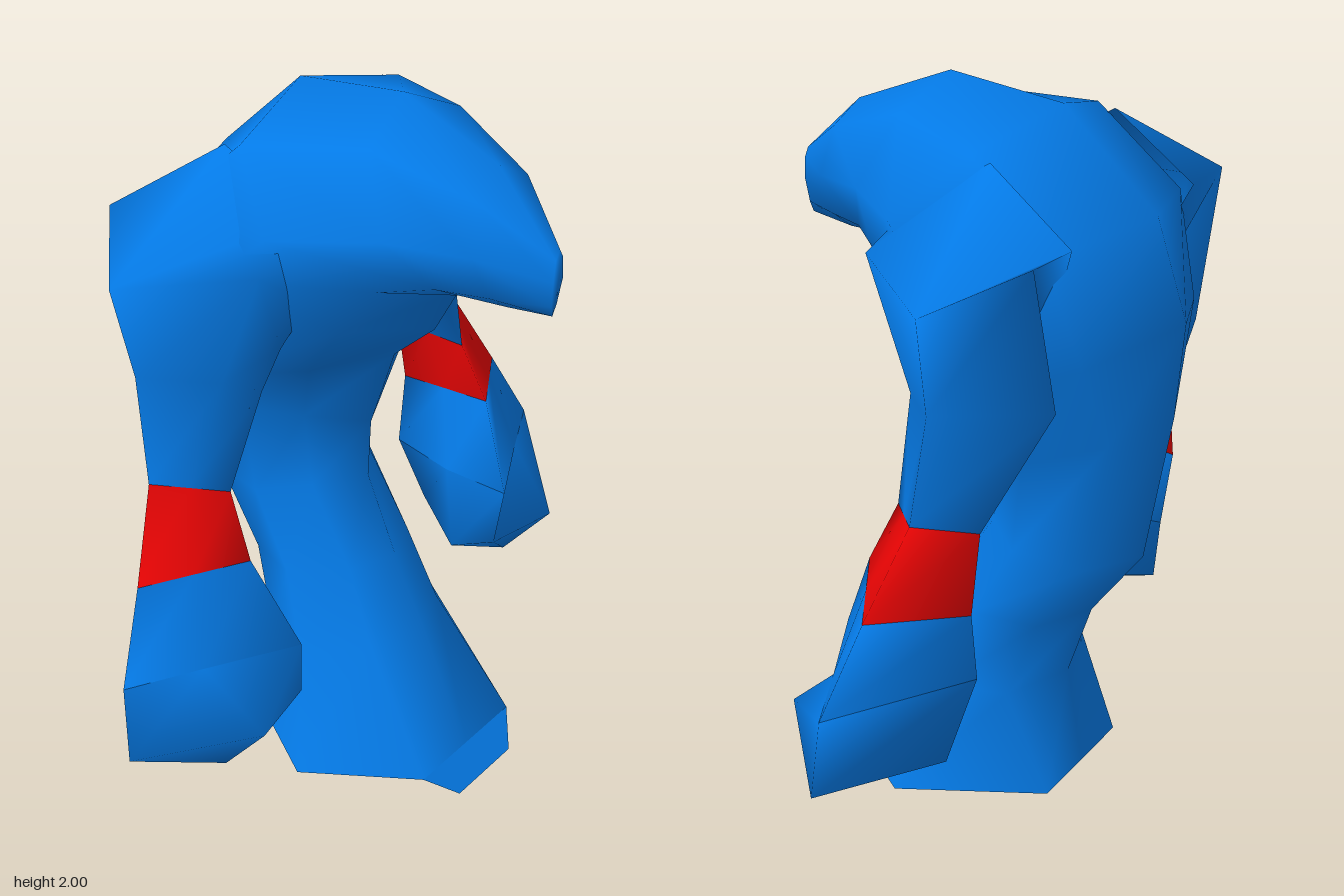
import * as THREE from 'three';

function surface(points, index) {
  const g = new THREE.BufferGeometry();
  g.setAttribute('position', new THREE.Float32BufferAttribute(points.flat(), 3));
  g.setIndex(index);
  g.computeVertexNormals();
  return g;
}

// Skin a list of rings (top to bottom, each counter-clockwise from above).
// topTip / bottomTip close the ends.
function loft(rings, { topTip, bottomTip } = {}) {
  const n = rings[0].length;
  const pos = rings.flat();
  const index = [];
  for (let r = 0; r < rings.length - 1; r++) {
    for (let i = 0; i < n; i++) {
      const a = r * n + i, b = r * n + (i + 1) % n;
      index.push(a, a + n, b, b, a + n, b + n);
    }
  }
  if (topTip) {
    const c = pos.push(topTip) - 1;
    for (let i = 0; i < n; i++) index.push(c, i, (i + 1) % n);
  }
  if (bottomTip) {
    const start = (rings.length - 1) * n;
    const c = pos.push(bottomTip) - 1;
    for (let i = 0; i < n; i++) index.push(c, start + (i + 1) % n, start + i);
  }
  return surface(pos, index);
}

const mix = (a, b, t) => a + (b - a) * t;

function mirrorRing(f, fs, s, bs, b) {
  const m = ([x, y, z]) => [-x, y, z];
  return [f, fs, s, bs, b, m(bs), m(s), m(fs)];
}

// Eight-point symmetric body ring from front, back and side points [y, z];
// fullness sets how boxy the front is.
function bodyRing(front, back, w, side, fullness = 0.7) {
  const between = (x, end, t) => [x, mix(side[0], end[0], t), mix(side[1], end[1], t)];
  return mirrorRing([0, ...front], between(w * 0.55, front, fullness), [w, ...side],
    between(w * 0.74, back, 0.7), [0, ...back]);
}

export function createModel() {
  const model = new THREE.Group();
  model.name = 'hunchedCreature';
  const blue = new THREE.MeshStandardMaterial({ color: 0x047be8, side: THREE.DoubleSide });
  blue.name = 'blue skin';
  const red = new THREE.MeshStandardMaterial({ color: 0xe60404 });
  red.name = 'red band';

  const add = (parent, name, geometry, material) => {
    const mesh = new THREE.Mesh(geometry, material);
    mesh.name = name;
    parent.add(mesh);
  };

  // Body: one sweep from the snout over the hunched back to the flared, open foot
  const bodyRings = [
    bodyRing([1.55, 0.57], [1.73, 0.58], 0.02, [1.65, 0.58]),
    bodyRing([1.53, 0.44], [1.89, 0.4], 0.14, [1.71, 0.43]),
    bodyRing([1.53, 0.35], [2.0, 0.11], 0.24, [1.73, 0.24]),
    bodyRing([1.52, 0.29], [1.96, -0.22], 0.41, [1.73, 0.02]),
    bodyRing([1.39, 0.22], [1.72, -0.49], 0.46, [1.6, -0.12]),
    bodyRing([1.27, 0.09], [1.46, -0.58], 0.4, [1.29, -0.17], 0.6),
    bodyRing([1.03, 0.01], [1.2, -0.56], 0.23, [1.08, -0.25], 0.5),
    bodyRing([0.85, 0.0], [0.78, -0.49], 0.225, [0.82, -0.22], 0.55),
    bodyRing([0.62, 0.1], [0.57, -0.34], 0.235, [0.6, -0.1]),
    bodyRing([0.42, 0.2], [0.35, -0.27], 0.275, [0.36, -0.02]),
    mirrorRing([0, 0.07, 0.37], [0.2, 0.07, 0.37], [0.39, 0.05, 0.06], [0.19, 0.06, -0.32], [0, 0.06, -0.32]),
  ];
  add(model, 'body', loft(bodyRings, { topTip: [0, 1.64, 0.58] }), blue);
  // Thin flap along the front of the foot
  add(model, 'toeFlap', surface(
    [[-0.2, 0.07, 0.37], [-0.12, 0, 0.44], [0.12, 0, 0.44], [0.2, 0.07, 0.37]],
    [0, 1, 2, 0, 2, 3]), blue);

  // Arm rings: inner front, front, outer, back, inner
  const arm = [
    [[0.25, 1.5, 0.02], [0.28, 1.74, 0.03], [0.3, 1.88, -0.2], [0.31, 1.71, -0.43], [0.2, 1.4, -0.3]],
    [[0.36, 1.42, 0.02], [0.46, 1.66, 0.05], [0.67, 1.62, -0.24], [0.48, 1.715, -0.43], [0.33, 1.36, -0.3]],
    [[0.36, 1.27, -0.05], [0.47, 1.33, -0.08], [0.62, 1.36, -0.23], [0.37, 1.32, -0.43], [0.35, 1.27, -0.25]],
    [[0.49, 1.03, -0.05], [0.565, 1.05, -0.12], [0.64, 1.07, -0.19], [0.5, 1.02, -0.3], [0.495, 1.025, -0.18]],
    [[0.51, 0.86, 0.03], [0.635, 0.85, -0.05], [0.76, 0.84, -0.13], [0.54, 0.81, -0.3], [0.525, 0.835, -0.14]],
    [[0.455, 0.61, 0.15], [0.69, 0.61, 0.02], [0.88, 0.61, -0.08], [0.5, 0.6, -0.29], [0.46, 0.6, -0.07]],
    [[0.44, 0.43, 0.13], [0.65, 0.45, 0.19], [0.9, 0.39, -0.06], [0.57, 0.37, -0.24], [0.4, 0.38, 0.0]],
  ];
  const fistTip = [0.64, 0.25, 0.03];

  for (const [name, s] of [['leftArm', 1], ['rightArm', -1]]) {
    const group = new THREE.Group();
    group.name = name;
    const flip = ([x, y, z]) => [x * s, y, z];
    const rings = arm.map((ring) => {
      const r = ring.map(flip);
      return s < 0 ? r.reverse() : r;
    });
    add(group, 'upperArm', loft(rings.slice(0, 4)), blue);
    add(group, 'wristBand', loft(rings.slice(3, 5)), red);
    add(group, 'forearm', loft(rings.slice(4, 6)), blue);
    add(group, 'fist', loft(rings.slice(5), { bottomTip: flip(fistTip) }), blue);
    model.add(group);
  }
  return model;
}
